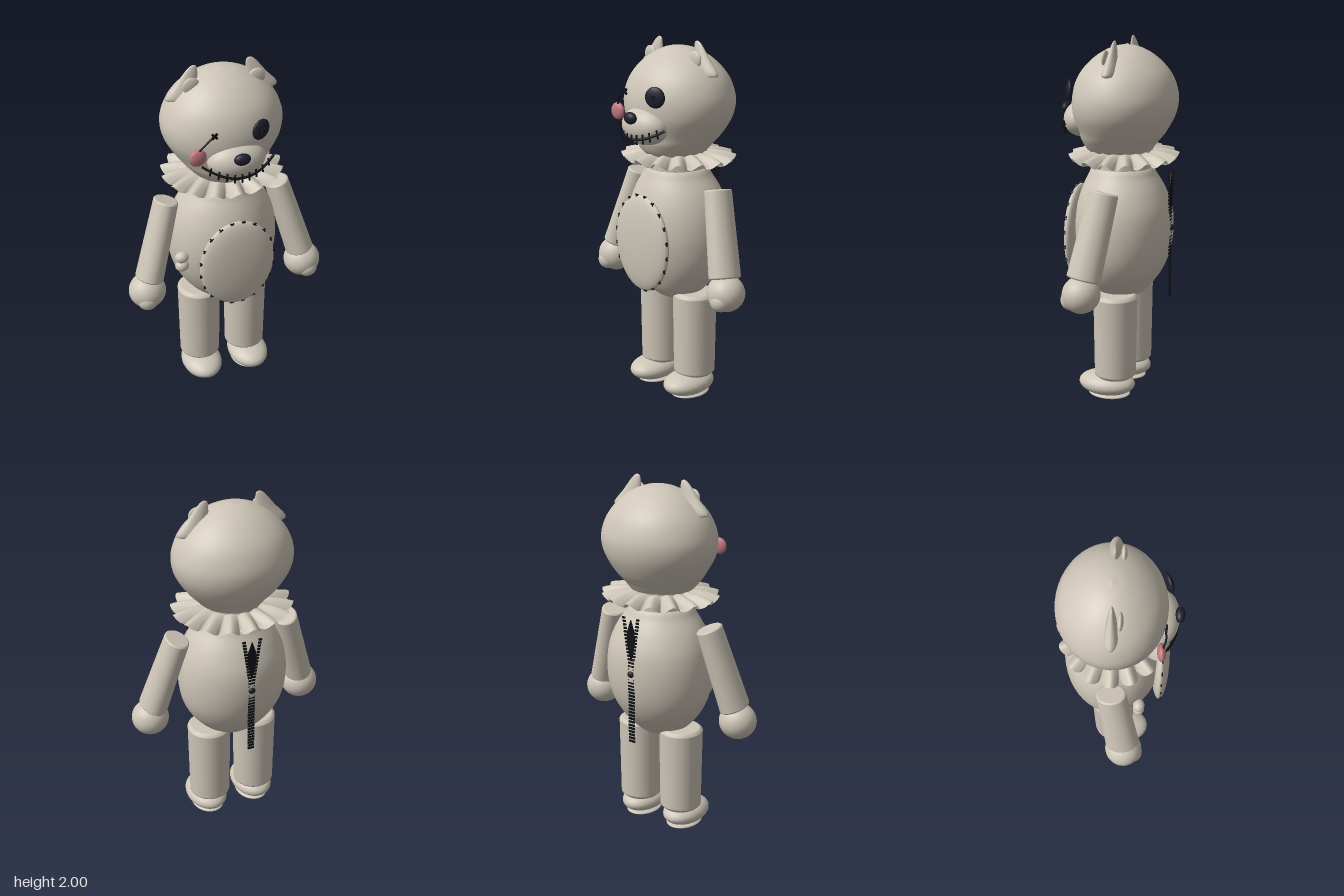
import * as THREE from 'three';

const paint = (name, color) => Object.assign(new THREE.MeshStandardMaterial({ color }), { name });

export function createModel() {
  const plush = paint('warm grey plush', 0xcdc5b7);
  const collarCloth = plush.clone();
  collarCloth.name = 'collar cloth';
  collarCloth.side = THREE.DoubleSide;
  const button = paint('dark button', 0x1f202d);
  const thread = paint('black thread', 0x101116);
  const pink = paint('dusty pink', 0xbf777d);

  const model = new THREE.Group();
  model.name = 'plushBear';

  const add = (name, geometry, material, x = 0, y = 0, z = 0, parent = model) => {
    const mesh = new THREE.Mesh(geometry, material);
    mesh.name = name;
    mesh.position.set(x, y, z);
    parent.add(mesh);
    return mesh;
  };
  const blob = (name, material, [x, y, z], [rx, ry, rz], parent) =>
    add(name, new THREE.SphereGeometry(1, 40, 26).scale(rx, ry, rz), material, x, y, z, parent);

  // Smooth skin over stacked ellipses: [y, centreX, centreZ, radiusX, radiusZ], bottom to top
  function loft(sections, rows = 48, cols = 48) {
    const size = new THREE.CatmullRomCurve3(sections.map(([y, , , rx, rz]) => new THREE.Vector3(rx, y, rz)));
    const mid = new THREE.CatmullRomCurve3(sections.map(([y, cx, cz]) => new THREE.Vector3(cx, y, cz)));
    const pos = [], index = [];
    for (let i = 0; i <= rows; i++) {
      const s = size.getPoint(i / rows), c = mid.getPoint(i / rows);
      for (let j = 0; j < cols; j++) {
        const a = (j / cols) * Math.PI * 2;
        pos.push(c.x + Math.max(s.x, 0) * Math.sin(a), s.y, c.z + Math.max(s.z, 0) * Math.cos(a));
        if (i === rows) continue;
        const p = i * cols + j, q = i * cols + (j + 1) % cols;
        index.push(p, q, q + cols, p, q + cols, p + cols);
      }
    }
    const g = new THREE.BufferGeometry();
    g.setAttribute('position', new THREE.Float32BufferAttribute(pos, 3));
    g.setIndex(index);
    g.computeVertexNormals();
    return g;
  }

  // Thin sewn line through a few points
  const sew = (name, points, radius, parent) => add(name, new THREE.TubeGeometry(
    new THREE.CatmullRomCurve3(points.map((p) => new THREE.Vector3(...p))), 24, radius, 6), thread, 0, 0, 0, parent);

  // Cross stitch
  function cross(x, y, z, size, parent) {
    for (const turn of [-1, 1]) {
      add('crossStitch', new THREE.BoxGeometry(size, size * 0.28, 0.008), thread, x, y, z, parent)
        .rotation.z = turn * Math.PI / 4;
    }
  }

  // Head, neck and body
  add('head', loft([
    [1.38, 0, -0.005, 0, 0], [1.387, 0, -0.005, 0.15, 0.16], [1.45, 0, -0.01, 0.215, 0.21],
    [1.5, 0, -0.025, 0.255, 0.235], [1.6, 0, -0.035, 0.313, 0.275], [1.68, 0, -0.04, 0.326, 0.283],
    [1.75, 0, -0.04, 0.31, 0.27], [1.82, 0, -0.04, 0.272, 0.238], [1.9, 0, -0.04, 0.19, 0.162],
    [1.95, 0, -0.04, 0.09, 0.075], [1.966, 0, -0.035, 0, 0],
  ], 80), plush);
  add('neck', new THREE.CylinderGeometry(0.165, 0.165, 0.1, 40), plush, 0, 1.355, -0.022);
  add('body', loft([
    [0.545, 0, -0.02, 0, 0], [0.57, 0, -0.02, 0.1, 0.09], [0.62, 0, -0.02, 0.17, 0.152],
    [0.72, 0, -0.03, 0.25, 0.215], [0.82, 0, -0.035, 0.292, 0.25], [0.95, 0, -0.035, 0.306, 0.269],
    [1.08, 0, -0.035, 0.291, 0.26], [1.18, 0, -0.03, 0.253, 0.228], [1.26, 0, -0.025, 0.2, 0.188],
    [1.31, 0, -0.024, 0.162, 0.157], [1.316, 0, -0.024, 0, 0],
  ], 80), plush);
  for (const y of [0.938, 0.882]) blob('sideBobble', plush, [-0.28, y, 0.12], [0.038, 0.032, 0.032]);

  // Ruffled collar with petal edge
  const collar = new THREE.PlaneGeometry(1, 1, 192, 8);
  const cp = collar.attributes.position;
  for (let i = 0; i < cp.count; i++) {
    const a = (cp.getX(i) + 0.5) * Math.PI * 2, t = 0.5 - cp.getY(i);
    const petal = Math.abs(Math.cos(a * 8));
    const r = 0.14 + t * (0.11 + 0.075 * Math.sqrt(petal));
    cp.setXYZ(i, r * 1.03 * Math.sin(a), 1.4 - 0.042 * t * t + t * 0.02 * Math.cos(a * 16), -0.032 + r * 0.92 * Math.cos(a));
  }
  collar.computeVertexNormals();
  add('ruffledCollar', collar, collarCloth);

  // Belly patch with cross stitches round its rim
  blob('bellyPatch', plush, [0, 0.913, 0.23], [0.212, 0.27, 0.05]);
  for (let i = 0; i < 20; i++) {
    const a = (i + 0.5) * Math.PI / 10;
    cross(0.206 * Math.sin(a), 0.914 + 0.262 * Math.cos(a), 0.238, 0.026);
  }

  // Soft-edged round limb, base at y = 0
  const limb = (bottom, top, height, bevel) => new THREE.LatheGeometry([
    [0, 0], [bottom - bevel, 0], [bottom, bevel], [bottom, bevel * 1.5], [(bottom + top) / 2, height / 2],
    [top, height - bevel * 1.5], [top, height - bevel], [top - bevel, height], [top - bevel * 1.5, height], [0, height],
  ].map(([r, y]) => new THREE.Vector2(r, y)), 40);

  for (const s of [1, -1]) {
    const side = s > 0 ? 'left' : 'right';

    // Arm, hand and thumb
    const from = new THREE.Vector3(s * 0.447, 0.78, 0.038), to = new THREE.Vector3(s * 0.316, 1.228, -0.03);
    const dir = to.clone().sub(from);
    const arm = add(side + 'Arm', limb(0.078, 0.067, dir.length(), 0.006).scale(1, 1, 1.2), plush, ...from.toArray());
    arm.quaternion.setFromUnitVectors(new THREE.Vector3(0, 1, 0), dir.normalize());
    blob(side + 'Hand', plush, [s * 0.463, 0.705, 0.045], [0.104, 0.1, 0.102]);
    blob(side + 'Thumb', plush, [s * 0.476, 0.675, 0.1], [0.058, 0.056, 0.052]);

    // Leg, foot and sole
    add(side + 'Leg', limb(0.116, 0.122, 0.485, 0.014), plush, s * 0.14, 0.128, -0.03);
    blob(side + 'Foot', plush, [s * 0.146, 0.079, 0.018], [0.116, 0.067, 0.162]);
    blob(side + 'Sole', plush, [s * 0.143, 0.018, 0.005], [0.094, 0.018, 0.12]);

    // Pointed ear and its inner pad
    add(side + 'Ear', loft([
      [1.825, s * 0.21, -0.03, 0, 0], [1.828, s * 0.21, -0.03, 0.093, 0.038], [1.91, s * 0.183, -0.03, 0.056, 0.025],
      [1.99, s * 0.152, -0.03, 0.019, 0.007], [2.0, s * 0.148, -0.03, 0, 0],
    ], 32, 16), plush);
    blob(side + 'InnerEar', plush, [s * 0.175, 1.905, 0.012], [0.046, 0.046, 0.015]).rotation.z = -s * 0.5;
  }

  // Muzzle and nose
  blob('muzzle', plush, [0, 1.558, 0.2], [0.155, 0.102, 0.104]);
  blob('nose', button, [-0.003, 1.61, 0.303], [0.044, 0.032, 0.026]);

  // Button eye with sewing holes
  const eye = new THREE.Group();
  eye.name = 'buttonEye';
  eye.position.set(0.118, 1.725, 0.236);
  eye.rotation.y = 0.42;
  model.add(eye);
  blob('buttonFace', button, [0, 0, 0], [0.056, 0.056, 0.02], eye);
  cross(0, 0, 0.018, 0.03, eye);

  // Dangling eye on its thread
  blob('danglingEye', pink, [-0.21, 1.61, 0.218], [0.047, 0.047, 0.022]).rotation.y = 0.08;
  sew('eyeThread', [[-0.207, 1.645, 0.222], [-0.17, 1.692, 0.236], [-0.127, 1.728, 0.23]], 0.005);
  cross(-0.127, 1.728, 0.236, 0.04);

  // Stitched smile
  const smile = (x, dy = 0) => [x, 1.497 + 1.75 * x * x + dy, 0.298 - 1.75 * x * x];
  sew('smile', [-0.195, -0.15, -0.1, -0.05, 0, 0.05, 0.1, 0.15, 0.192].map((x) => smile(x)), 0.007);
  for (let i = -4; i <= 4; i++) {
    const x = i * 0.039;
    sew('smileStitch', [smile(x - i * 0.001, 0.026), smile(x), smile(x + i * 0.001, -0.026)], 0.005);
  }

  // Back zip: teeth that part near the top, dark opening and pull
  for (let i = 0; i < 38; i++) {
    const y = 0.588 + i * 0.019;
    const spread = Math.max(0, (y - 1.04) / 0.25) * 0.036;
    for (const s of [1, -1]) {
      add('zipTooth', new THREE.BoxGeometry(0.018, 0.01, 0.008), thread, s * (0.01 + spread), y, -0.299);
    }
  }
  const opening = new THREE.Shape([[0, 1.05], [0.026, 1.16], [0.022, 1.22], [0, 1.285], [-0.022, 1.22], [-0.026, 1.16]]
    .map(([x, y]) => new THREE.Vector2(x, y)));
  add('zipOpening', new THREE.ExtrudeGeometry(opening, { depth: 0.006, bevelEnabled: false }), thread, 0, 0, -0.302);
  blob('zipPull', button, [0, 0.98, -0.306], [0.02, 0.018, 0.012]);

  return model;
}
